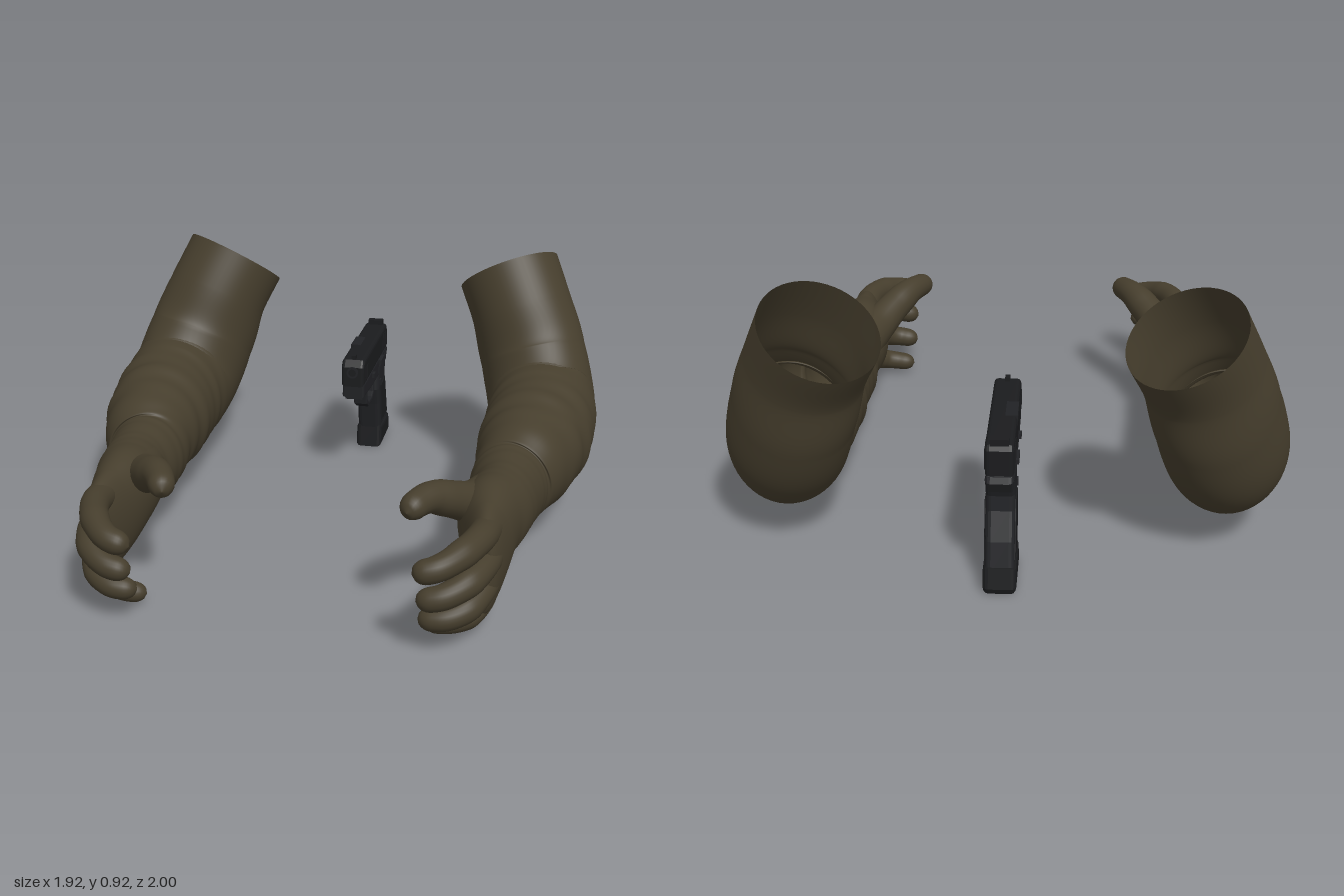
import * as THREE from 'three';

const mat = (name, color, side = THREE.FrontSide) => {
  const m = new THREE.MeshStandardMaterial({ color, side });
  m.name = name;
  return m;
};
const V = (p) => new THREE.Vector3(p[0], p[1], p[2]);
const curveOf = (pts) => new THREE.CatmullRomCurve3(pts.map(V), false, 'catmullrom', 0.5);

// Skin an elliptical cross-section along a path; side = -1 mirrors it in x.
function sweep(path, radii, rings, segs, side) {
  const pos = [], idx = [], up = new THREE.Vector3(0, 1, 0);
  for (let i = 0; i <= rings; i++) {
    const t = i / rings, c = path.getPoint(t), T = path.getTangent(t);
    const U = up.clone().addScaledVector(T, -up.dot(T)).normalize();
    const S = U.clone().cross(T);
    for (let j = 0; j < segs; j++) {
      const a = (j / segs) * Math.PI * 2, [rx, ry] = radii(t, a, c);
      const p = c.clone().addScaledVector(S, Math.cos(a) * rx).addScaledVector(U, Math.sin(a) * ry);
      pos.push(p.x * side, p.y, p.z);
      if (i === rings) continue;
      const k = (j + 1) % segs, q = [i * segs + j, i * segs + k, (i + 1) * segs + j, (i + 1) * segs + k];
      if (side > 0) idx.push(q[0], q[1], q[2], q[1], q[3], q[2]);
      else idx.push(q[0], q[2], q[1], q[1], q[2], q[3]);
    }
  }
  const g = new THREE.BufferGeometry();
  g.setAttribute('position', new THREE.Float32BufferAttribute(pos, 3));
  g.setIndex(idx);
  g.computeVertexNormals();
  return g;
}

// Palm to open sleeve end: x, y, z, half width, half height
const ARM = [
  [.65, .22, .785, 0, 0], [.65, .22, .765, .042, .135], [.652, .225, .70, .062, .168],
  [.648, .24, .58, .085, .175], [.645, .272, .47, .11, .16], [.658, .275, .38, .122, .147],
  [.673, .27, .28, .121, .147], [.675, .265, .19, .134, .157], [.682, .264, .1, .144, .163],
  [.71, .285, 0, .172, .186], [.735, .30, -.2, .203, .21], [.75, .313, -.4, .21, .227],
  [.738, .35, -.56, .21, .243], [.692, .5, -.66, .203, .231], [.637, .665, -.717, .198, .208],
  [.572, .81, -.787, .2, .205],
];

// Fingers: name, thickness, base flare, path from the palm to the tip
const FINGERS = [
  ['indexFinger', .052, 0, [[.655, .335, .64], [.642, .35, .76], [.60, .345, .87], [.535, .325, .945], [.455, .305, .962]]],
  ['middleFinger', .051, 0, [[.665, .255, .64], [.658, .26, .76], [.62, .247, .87], [.55, .22, .93], [.465, .20, .935]]],
  ['ringFinger', .049, 0, [[.665, .175, .64], [.653, .165, .75], [.615, .14, .84], [.55, .12, .885], [.465, .11, .88]]],
  ['littleFinger', .045, 0, [[.655, .11, .6], [.645, .09, .69], [.61, .066, .755], [.55, .05, .78], [.47, .042, .775]]],
  ['thumb', .057, .5, [[.625, .31, .34], [.58, .335, .45], [.522, .383, .55], [.468, .42, .63], [.432, .425, .695], [.405, .415, .765]]],
];

const bump = (x, c, w) => Math.exp(-(((x - c) / w) ** 2));

function makeArm(side, cloth) {
  const arm = new THREE.Group();
  arm.name = side > 0 ? 'leftArm' : 'rightArm';
  const add = (name, g) => {
    const m = new THREE.Mesh(g, cloth);
    m.name = name;
    arm.add(m);
  };
  const size = curveOf(ARM.map((s) => [s[3], s[4], 0]));
  // Slanting cloth folds on the forearm, soft rings at the cuff and wrist
  const armRadii = (t, a, c) => {
    const r = size.getPoint(t), z = c.z;
    const folds = .016 * bump(z, -.2, .25) * (Math.sin(36 * z + 3 * Math.sin(a + .5)) + .8 * Math.sin(57 * z - 3 * Math.cos(a) + Math.sin(2 * a)));
    const cuff = .014 * bump(z, .12, .07) * Math.sin(95 * z + .5 * Math.sin(a));
    const wrist = .006 * bump(z, .3, .07) * Math.sin(90 * z + Math.sin(2 * a));
    const k = 1 + folds + cuff + wrist;
    return [Math.max(0, r.x) * k, Math.max(0, r.y) * k];
  };
  add('sleeveAndPalm', sweep(curveOf(ARM), armRadii, 240, 56, side));
  for (const [name, r, flare, pts] of FINGERS) {
    const radii = (t) => {
      const tip = t > .86 ? Math.sqrt(Math.max(0, 1 - ((t - .86) / .14) ** 2)) : 1;
      const k = r * tip * (1 - .24 * t + flare * (1 - t) ** 2 + .05 * bump(t, .5, .08));
      return [k, k];
    };
    add(name, sweep(curveOf(pts), radii, 44, 20, side));
  }
  return arm;
}

function makePistol(dark, grey) {
  const gun = new THREE.Group();
  gun.name = 'pistol';
  const add = (name, g, m) => {
    const o = new THREE.Mesh(g, m);
    o.name = name;
    gun.add(o);
  };
  // Side profile in (z, y), given a bevelled thickness across x
  const plate = (name, pts, width, bevel, m, hole) => {
    const shape = new THREE.Shape(pts.map((p) => new THREE.Vector2(...p)));
    if (hole) shape.holes.push(new THREE.Path(hole.map((p) => new THREE.Vector2(...p))));
    const depth = width - 2 * bevel;
    const g = new THREE.ExtrudeGeometry(shape, {
      depth, bevelEnabled: bevel > 0, bevelThickness: bevel, bevelSize: bevel, bevelOffset: -bevel, bevelSegments: 3,
    });
    g.translate(0, 0, -depth / 2).rotateY(-Math.PI / 2);
    add(name, g, m);
  };
  const box = (name, w, h, d, x, y, z, m) => add(name, new THREE.BoxGeometry(w, h, d).translate(x, y, z), m);

  // Slide, sights and muzzle
  plate('slide', [[-.958, .40], [-.415, .40], [-.415, .48], [-.435, .507], [-.945, .507], [-.958, .49]], .092, .014, dark);
  box('rearSight', .06, .022, .03, 0, .515, -.935, dark);
  box('frontSight', .016, .018, .025, 0, .513, -.45, dark);
  add('barrel', new THREE.CylinderGeometry(.023, .023, .03, 20).rotateX(Math.PI / 2).translate(0, .46, -.423), grey);
  add('muzzleBore', new THREE.CircleGeometry(.015, 20).translate(0, .46, -.4075), dark);
  for (const s of [-1, 1]) {
    for (let i = 0; i < 6; i++) box('slideRib', .006, .07, .007, s * .045, .452, -.935 + i * .017, dark);
    for (let i = 0; i < 4; i++) box('frontRib', .006, .055, .007, s * .045, .445, -.50 + i * .017, dark);
    box('slideCatch', .014, .016, .075, s * .049, .393, -.80, grey);
    box('takedownLever', .014, .018, .028, s * .048, .385, -.62, grey);
    box('magazineCatch', .012, .022, .022, s * .046, .30, -.785, grey);
  }
  box('ejectionPort', .04, .035, .11, -.027, .491, -.68, grey);

  // Frame, accessory rail, trigger and guard
  plate('frame', [[-.97, .385], [-.95, .345], [-.76, .33], [-.60, .335], [-.43, .35], [-.43, .405], [-.96, .405]], .088, .008, grey);
  for (let i = 0; i < 3; i++) box('railTooth', .07, .014, .022, 0, .342, -.46 - i * .04, grey);
  plate('triggerGuard', [[-.78, .36], [-.765, .25], [-.72, .235], [-.63, .24], [-.59, .265], [-.575, .36]], .055, .006, grey,
    [[-.745, .335], [-.74, .27], [-.71, .257], [-.64, .26], [-.612, .28], [-.603, .335]]);
  plate('trigger', [[-.70, .345], [-.675, .345], [-.672, .31], [-.655, .275], [-.667, .272], [-.69, .305]], .02, 0, dark);

  // Grip, its side panels and the magazine floor
  plate('grip', [[-.76, .38], [-.75, .27], [-.77, .20], [-.795, .08], [-.985, .07], [-.958, .17], [-.918, .26],
    [-.912, .31], [-.93, .36], [-.975, .385], [-.965, .405]], .094, .018, grey);
  plate('gripPanels', [[-.79, .28], [-.82, .11], [-.955, .105], [-.93, .18], [-.89, .29]], .102, .004, dark);
  plate('magazineFloor', [[-.782, .0], [-.795, .095], [-.985, .09], [-1, .022], [-.993, .003]], .108, .018, dark);
  return gun;
}

export function createModel() {
  const cloth = mat('olive brown cloth', 0x463e2d, THREE.DoubleSide);
  const dark = mat('black steel', 0x1b1c1e);
  const grey = mat('charcoal polymer', 0x212225);
  const model = new THREE.Group();
  model.name = 'armsAndPistol';
  model.add(makeArm(1, cloth), makeArm(-1, cloth), makePistol(dark, grey));
  return model;
}
